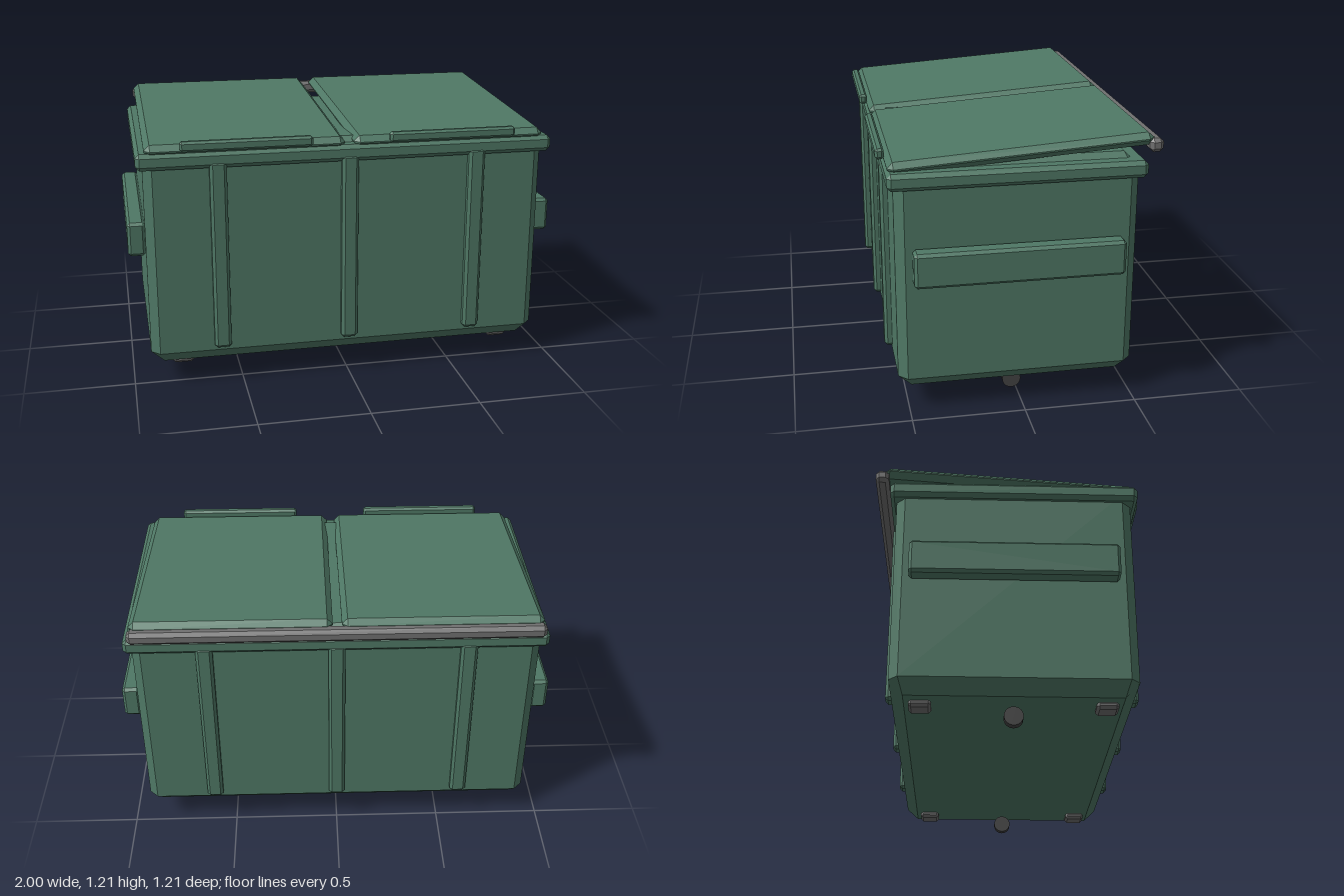
import * as THREE from 'three';
import { ConvexGeometry } from 'three/addons/geometries/ConvexGeometry.js';

const paint = (color) => new THREE.MeshStandardMaterial({ color, flatShading: true });

// Box with chamfered edges: c on the top and bottom edges, v on the upright ones.
function chamferBox(w, h, d, c, v = c) {
  const points = [];
  for (const sx of [-1, 1]) for (const sy of [-1, 1]) for (const sz of [-1, 1]) {
    const x = w / 2, y = h / 2, z = d / 2;
    for (const p of [[x, y - c, z - v], [x - v, y - c, z], [x - c, y, z - c]]) {
      points.push(new THREE.Vector3(sx * p[0], sy * p[1], sz * p[2]));
    }
  }
  return new ConvexGeometry(points);
}

export function createModel() {
  const model = new THREE.Group();
  model.name = 'wasteContainer';
  const green = paint(0x4f7865);
  const metal = paint(0x707070);
  const rubber = paint(0x444444);

  function add(name, geometry, material, x, y, z) {
    const mesh = new THREE.Mesh(geometry, material);
    mesh.name = name;
    mesh.position.set(x, y, z);
    model.add(mesh);
    return mesh;
  }

  // Bin body and the rim around its top
  add('body', chamferBox(1.84, 1.03, 1.05, 0.06, 0.04), green, 0, 0.615, 0.02);
  add('rim', chamferBox(1.9, 0.075, 1.106, 0.018), green, 0, 1.068, 0.021);

  // Upright ribs on front and back
  const rib = chamferBox(0.076, 0.88, 0.07, 0.013);
  for (const x of [-0.593, 0, 0.593]) {
    add('frontRib', rib, green, x, 0.62, 0.544);
    add('backRib', rib, green, x, 0.62, -0.501);
  }

  const pocket = chamferBox(0.08, 0.156, 0.91, 0.013);
  const lid = chamferBox(0.89, 0.056, 1.135, 0.025);
  const handle = chamferBox(0.585, 0.046, 0.038, 0.01);
  const pad = chamferBox(0.096, 0.034, 0.096, 0.012);
  const wheel = new THREE.CylinderGeometry(0.042, 0.042, 0.038, 24).rotateZ(Math.PI / 2);

  for (const s of [-1, 1]) {
    // Lifting pockets on the sides
    add('sidePocket', pocket, green, s * 0.958, 0.693, 0.02);
    // Lids rise towards the back
    add('lid', lid, green, s * 0.465, 1.15, 0).rotation.x = 0.068;
    add('lidHandle', handle, green, s * 0.467, 1.138, 0.584);
    // Foot pads and wheels
    for (const z of [0.417, -0.376]) add('footPad', pad, metal, s * 0.77, 0.088, z);
    add('wheel', wheel, rubber, s * 0.77, 0.044, 0.02);
  }

  // Hinge bar behind the lids
  add('hingeBar', chamferBox(1.83, 0.06, 0.06, 0.016), metal, 0, 1.16, -0.574);

  return model;
}
